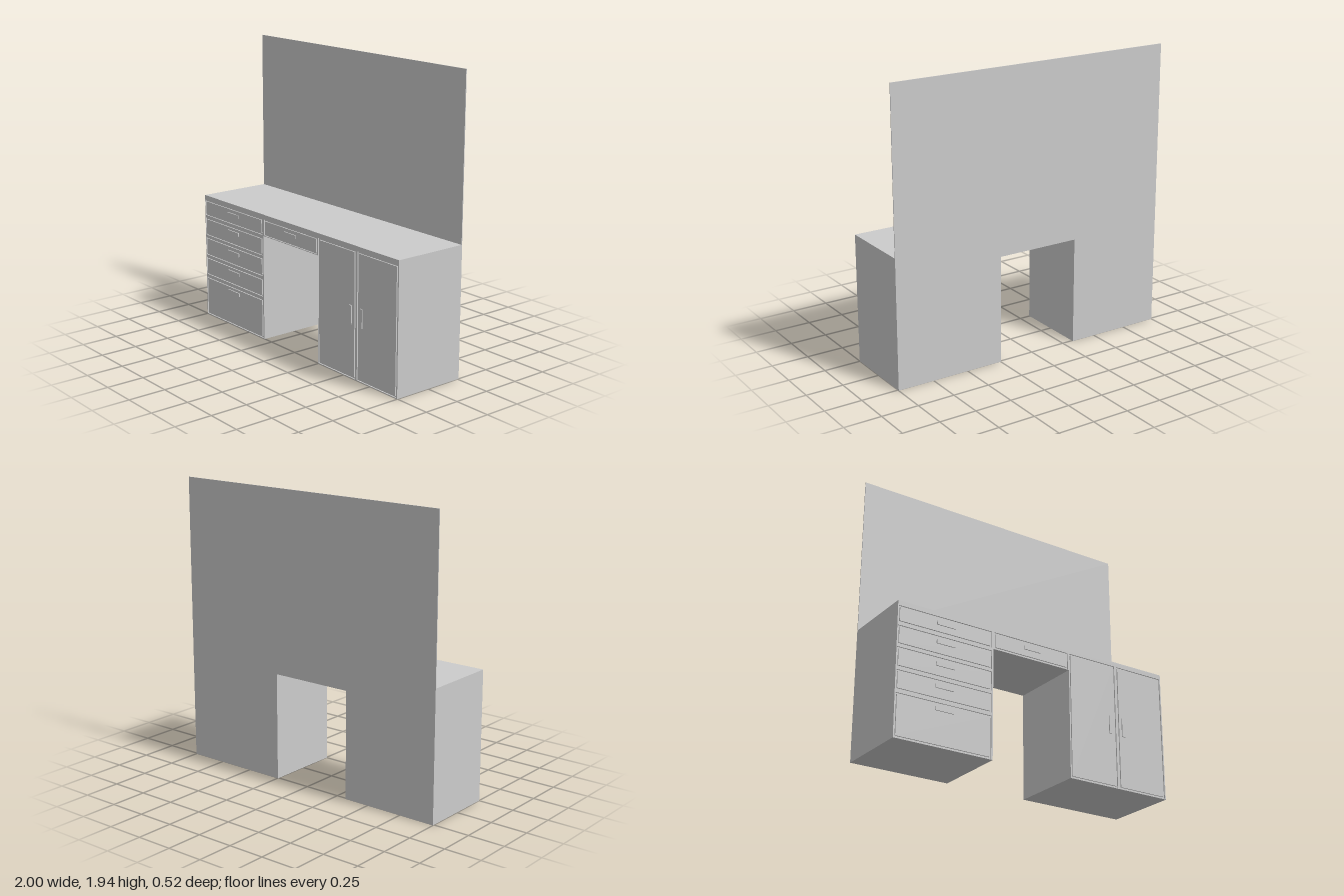
import * as THREE from 'three';

const BACK = -0.26, FRONT = 0.253, GROOVE = 0.008, RIM = 0.01;

// Fronts as [x0, x1, y0, y1]
const drawerRows = [[0.725, 0.834], [0.583, 0.706], [0.44, 0.567], [0.297, 0.422], [0.005, 0.278]];
const drawers = drawerRows.map(([y0, y1]) => [-0.995, -0.337, y0, y1]);
drawers.push([-0.318, 0.238, 0.725, 0.834]);
const doors = [[0.25, 0.612, 0.005, 0.834], [0.628, 0.992, 0.005, 0.834]];

// Handles as [x0, x1, y0, y1]
const handles = [0.789, 0.666, 0.521, 0.38, 0.238].map((y) => [-0.73, -0.602, y - 0.012, y + 0.012]);
handles.push([-0.099, 0.027, 0.777, 0.801]);
handles.push([0.556, 0.578, 0.356, 0.479], [0.658, 0.68, 0.356, 0.479]);

export function createModel() {
  const group = new THREE.Group();
  const material = new THREE.MeshStandardMaterial({ color: 0xcccccc });

  const add = (name, geometry) => {
    const mesh = new THREE.Mesh(geometry, material);
    mesh.name = name;
    group.add(mesh);
    return mesh;
  };
  const block = (name, [x0, x1, y0, y1], z0, z1) =>
    add(name, new THREE.BoxGeometry(x1 - x0, y1 - y0, z1 - z0))
      .position.set((x0 + x1) / 2, (y0 + y1) / 2, (z0 + z1) / 2);

  // Desk outline with the knee space cut out from below
  const outline = () => new THREE.Shape([
    [-1, 0], [-0.326, 0], [-0.326, 0.72], [0.246, 0.72],
    [0.246, 0], [1, 0], [1, 0.866], [-1, 0.866],
  ].map(([x, y]) => new THREE.Vector2(x, y)));
  const slab = (name, shape, z0, z1) =>
    add(name, new THREE.ExtrudeGeometry(shape, { depth: z1 - z0, bevelEnabled: false }))
      .position.z = z0;

  slab('deskBody', outline(), BACK, FRONT - GROOVE);

  // Face frame with an opening for every drawer and door
  const frame = outline();
  for (const [x0, x1, y0, y1] of [...drawers, ...doors]) {
    frame.holes.push(new THREE.Path([
      new THREE.Vector2(x0, y0), new THREE.Vector2(x0, y1),
      new THREE.Vector2(x1, y1), new THREE.Vector2(x1, y0),
    ]));
  }
  slab('faceFrame', frame, FRONT - GROOVE, FRONT);

  // Flush fronts, separated from the frame by a narrow groove
  const inset = ([x0, x1, y0, y1]) => [x0 + RIM, x1 - RIM, y0 + RIM, y1 - RIM];
  drawers.forEach((r) => block('drawerFront', inset(r), FRONT - GROOVE, FRONT));
  doors.forEach((r) => block('door', inset(r), FRONT - GROOVE, FRONT));
  handles.forEach((r) => block('handle', r, FRONT, 0.26));

  // Thin upright panel along the back edge
  block('backPanel', [-1, 1, 0.866, 1.936], BACK, BACK + 0.005);

  return group;
}
